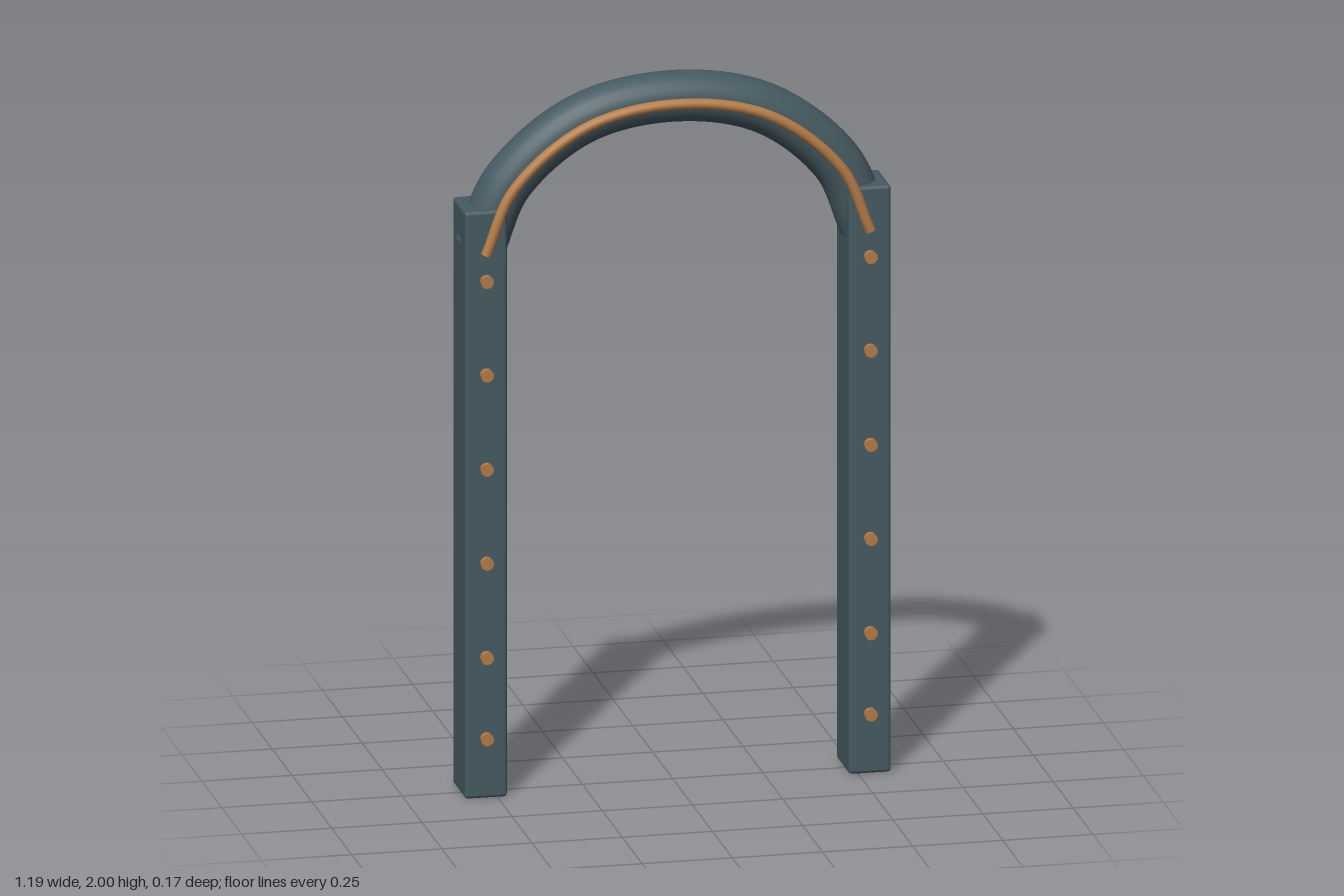
import * as THREE from 'three';
import { RoundedBoxGeometry } from 'three/addons/geometries/RoundedBoxGeometry.js';

export function createModel() {
  const model = new THREE.Group();
  model.name = 'archway';
  const slate = new THREE.MeshStandardMaterial({ color: 0x465a62 });
  slate.name = 'slate';
  const copper = new THREE.MeshStandardMaterial({ color: 0xb47c48 });
  copper.name = 'copper';

  const add = (name, geometry, material, x = 0, y = 0, z = 0) => {
    const mesh = new THREE.Mesh(geometry, material);
    mesh.name = name;
    mesh.position.set(x, y, z);
    model.add(mesh);
    return mesh;
  };

  // Shared arch path
  const half = [[0.533, 1.537], [0.455, 1.717], [0.255, 1.88]];
  const points = [
    ...half.map(([x, y]) => new THREE.Vector3(-x, y, 0)),
    new THREE.Vector3(0, 1.93, 0),
    ...half.map(([x, y]) => new THREE.Vector3(x, y, 0)).reverse(),
  ];
  const path = new THREE.CatmullRomCurve3(points);

  // Tube along the path with flat discs closing both ends
  const addArch = (name, radius, sides, material, z) => {
    add(name, new THREE.TubeGeometry(path, 64, radius, sides), material, 0, 0, z);
    for (const t of [0, 1]) {
      const p = path.getPointAt(t);
      const out = path.getTangentAt(t).multiplyScalar(t ? 1 : -1);
      const cap = add(name + 'End', new THREE.CircleGeometry(radius, sides), material, p.x, p.y, z);
      cap.quaternion.setFromUnitVectors(new THREE.Vector3(0, 0, 1), out);
    }
  };
  addArch('arch', 0.07, 24, slate, -0.01);
  addArch('archTrim', 0.015, 12, copper, 0.07);

  // Posts with a column of studs on the front
  const postGeometry = new RoundedBoxGeometry(0.118, 1.662, 0.157, 2, 0.01);
  const studGeometry = new THREE.CylinderGeometry(0.018, 0.018, 0.03, 12).rotateX(Math.PI / 2);
  for (const [side, s] of [['left', 1], ['right', -1]]) {
    add(side + 'Post', postGeometry, slate, s * 0.532, 0.831, -0.008);
    for (const y of [0.17, 0.4, 0.667, 0.933, 1.2, 1.465]) {
      add(side + 'Stud', studGeometry, copper, s * 0.532, y, 0.072);
    }
  }
  return model;
}
